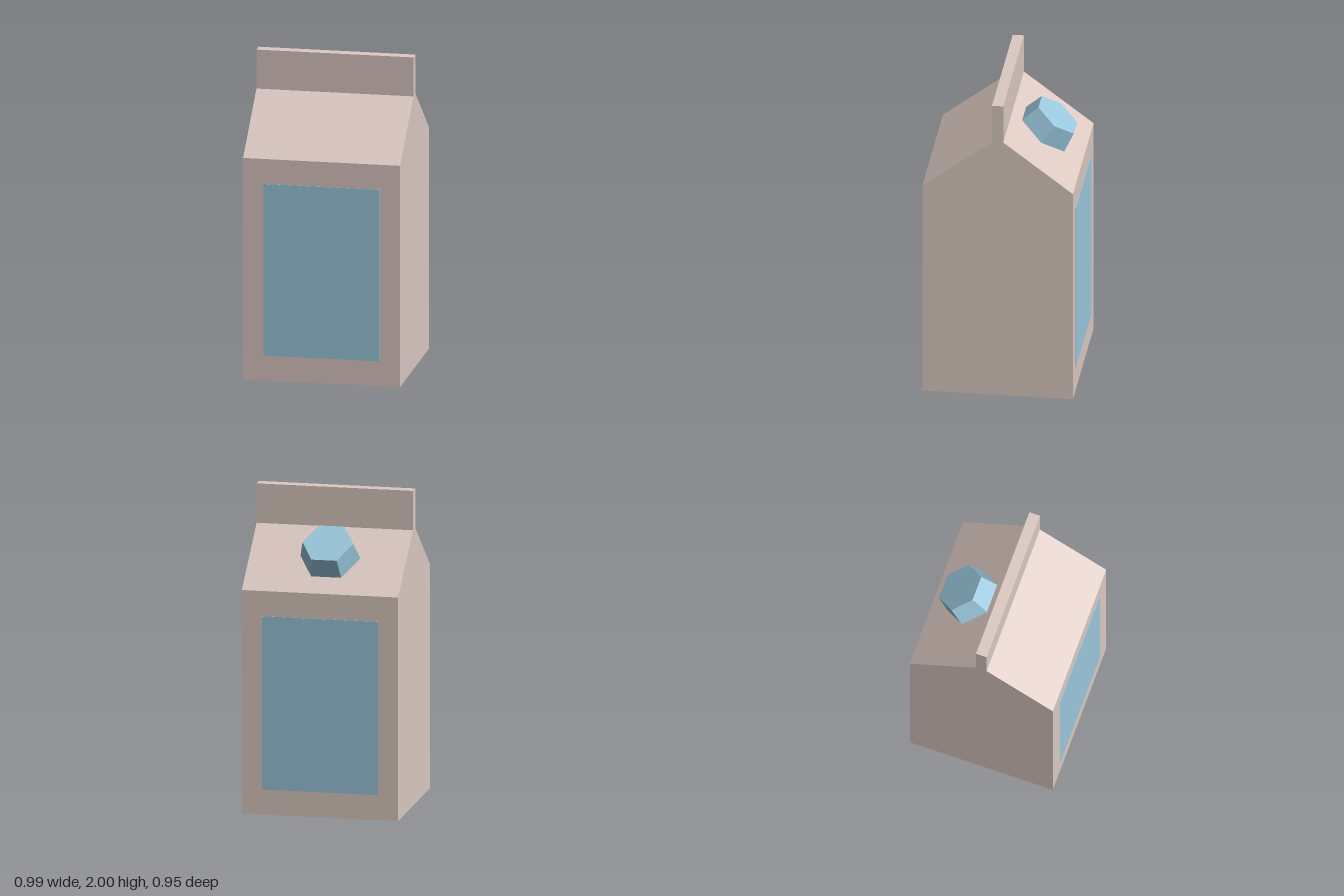
import * as THREE from 'three';

export function createModel() {
  const model = new THREE.Group();
  model.name = 'milkCarton';

  const board = new THREE.MeshStandardMaterial({ color: 0xdcc9c2 });
  board.name = 'pale card';
  const blue = new THREE.MeshStandardMaterial({ color: 0x9ac7dc });
  blue.name = 'light blue';
  blue.flatShading = true;

  const width = 0.99, depth = 0.47, eave = 1.42, ridge = 1.75, fin = 0.035;

  const add = (name, geometry, material) => {
    const mesh = new THREE.Mesh(geometry, material);
    mesh.name = name;
    model.add(mesh);
    return mesh;
  };

  // Carton: gabled side profile with the sealed top fin, extruded across x
  const profile = new THREE.Shape([
    [-depth, 0], [depth, 0], [depth, eave], [fin, ridge],
    [fin, 2], [-fin, 2], [-fin, ridge], [-depth, eave],
  ].map(([z, y]) => new THREE.Vector2(z, y)));
  const carton = new THREE.ExtrudeGeometry(profile, { depth: width, bevelEnabled: false });
  carton.translate(0, 0, -width / 2).rotateY(Math.PI / 2);
  add('carton', carton, board);

  // Blue label panels on front and back
  for (const [name, side] of [['frontPanel', 1], ['backPanel', -1]]) {
    const panel = add(name, new THREE.BoxGeometry(0.734, 1.1, 0.004), blue);
    panel.position.set(0, 0.71, side * (depth + 0.001));
  }

  // Tapered hexagonal cap, square to the back roof slope
  const cap = add('cap', new THREE.CylinderGeometry(0.16, 0.19, 0.131, 6, 1, false, Math.PI / 6), blue);
  const slope = Math.atan2(ridge - eave, depth - fin);
  const normal = new THREE.Vector3(0, Math.cos(slope), -Math.sin(slope));
  cap.rotation.x = -slope;
  cap.position.set(-0.015, 1.602, -0.23).addScaledVector(normal, 0.0655);

  return model;
}
